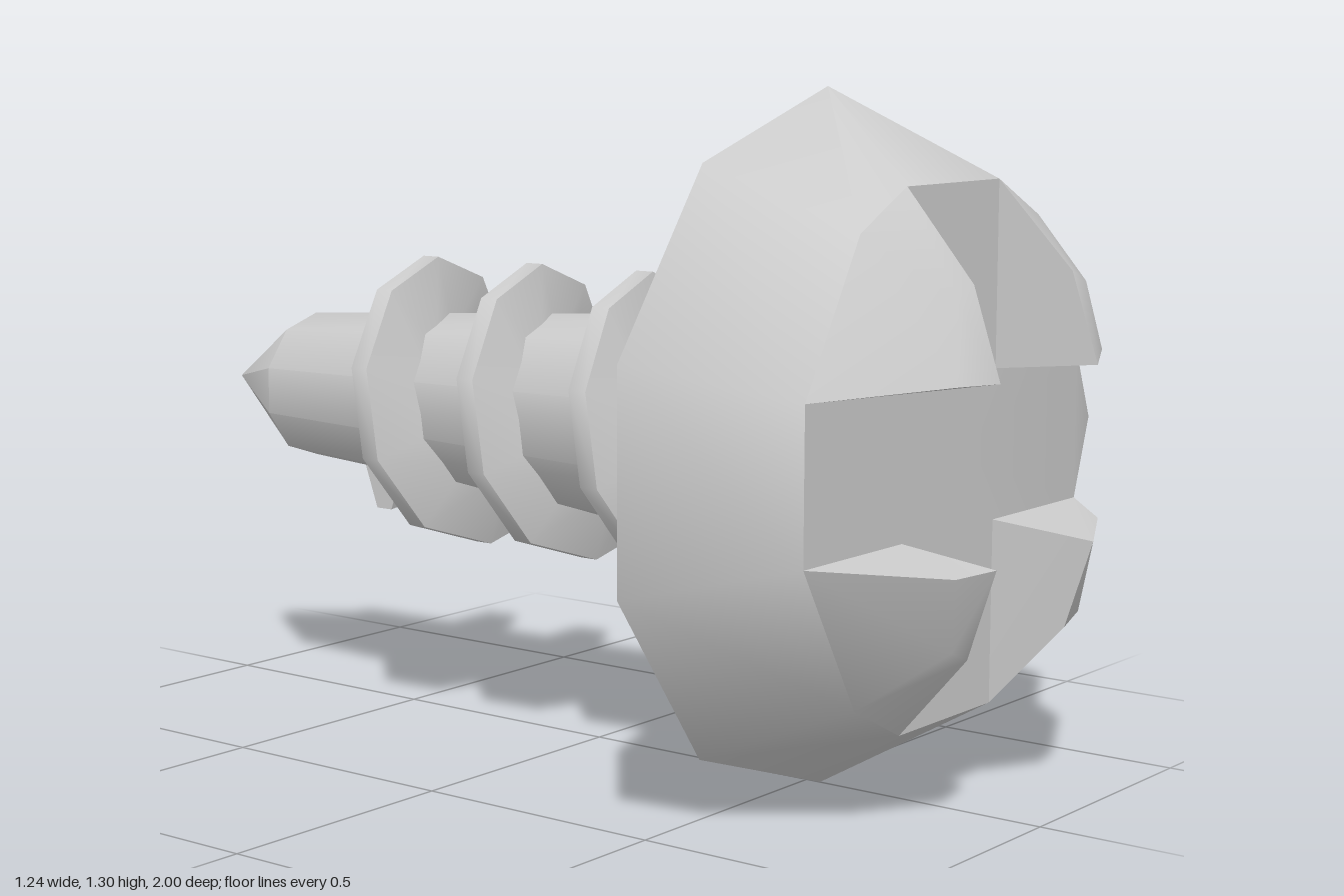
import * as THREE from 'three';
import { toCreasedNormals } from 'three/addons/utils/BufferGeometryUtils.js';

const AXIS_Y = 0.655; // height of the screw's axis
const SIDES = 10;
const material = new THREE.MeshStandardMaterial({ color: 0xcccccc });

const polar = (r, deg, z) => {
  const a = THREE.MathUtils.degToRad(deg);
  return [r * Math.cos(a), r * Math.sin(a), z];
};

function meshOf(name, geometry, crease = 0.72) {
  const mesh = new THREE.Mesh(toCreasedNormals(geometry, crease), material);
  mesh.name = name;
  return mesh;
}

// Collects triangles given by their corner points
function triangleList() {
  const data = [];
  const tri = (a, b, c) => data.push(...a, ...b, ...c);
  const quad = (a, b, c, d) => { tri(a, b, c); tri(a, c, d); };
  const geometry = () => new THREE.BufferGeometry()
    .setAttribute('position', new THREE.Float32BufferAttribute(data, 3));
  return { tri, quad, geometry };
}

// Lower head: ten-sided rim rising to the level of the slot floor
function headBase() {
  const { tri, quad, geometry } = triangleList();
  const quarter = [[0.46, 0.14, 0.8], polar(0.51, 54, 0.8), [0.155, 0.485, 0.8]];
  const angles = [18, 54, 90];
  const flipX = ([x, y, z]) => [-x, y, z];
  const upper = [...quarter, ...[...quarter].reverse().map(flipX)];
  const inner = [...upper, ...upper.map(([x, y, z]) => [-x, -y, z])];
  const half = [...angles, ...[...angles].reverse().map(a => 180 - a)];
  const outer = [...half, ...half.map(a => a + 180)].map(a => polar(0.65, a, 0.53));
  const bulge = [0.585, 0, 0.76];

  for (let i = 0; i < 12; i++) {
    const j = (i + 1) % 12;
    const [o0, o1, n0, n1] = [outer[i], outer[j], inner[i], inner[j]];
    const sharedCorner = Math.hypot(o0[0] - o1[0], o0[1] - o1[1]) < 1e-6;
    if (i === 11) {
      tri(o0, o1, bulge);
      tri(o1, n1, bulge);
      tri(n1, n0, bulge);
      tri(n0, o0, bulge);
    } else if (sharedCorner) {
      tri(o0, n1, n0);
    } else {
      quad(o0, o1, n1, n0);
    }
    tri(n0, n1, [0, 0, 0.8]);                        // slot floor
    if (!sharedCorner) tri(o1, o0, [0, 0, 0.53]);    // underside
  }
  return geometry();
}

// One domed quarter standing between the arms of the cross slot
function domeQuarter(sx, sy) {
  const { tri, quad, geometry } = triangleList();
  const at = ([x, y, z]) => [x * sx, y * sy, z];
  const face = (...p) => {
    const q = p.map(at);
    if (sx * sy < 0) q.reverse();
    (q.length === 3 ? tri : quad)(...q);
  };
  const a0 = [0.46, 0.14, 0.8], b0 = [0.155, 0.485, 0.8];
  const a1 = sx > 0 ? [0.39, 0.16, 0.89] : [0.27, 0.163, 0.98];
  const b1 = [0.17, 0.325, 0.945];
  const m0 = polar(0.51, 54, 0.8), m1 = polar(0.375, 54, 0.945);
  const c0 = [0.155, 0.14, 0.8], c1 = [0.17, 0.16, 1];
  face(a0, m0, m1, a1);
  face(m0, b0, b1, m1);
  face(a1, m1, c1);
  face(m1, b1, c1);
  face(c0, a0, a1, c1); // slot walls
  face(c0, c1, b1, b0);
  return geometry();
}

// Helical ridge with a trapezoid section
function threadGeometry() {
  const { quad, geometry } = triangleList();
  const turns = 4, steps = turns * SIDES;
  const section = i => {
    const t = i / SIDES;
    const angle = -90 - 360 * t;
    const z = 0.525 - 0.276 * t;
    const crest = 0.29 - 0.04 * Math.max(0, (t - turns + 0.25) / 0.25);
    return [[0.14, 0.06], [crest, 0.02], [crest, -0.02], [0.14, -0.06]]
      .map(([r, dz]) => polar(r, angle, z + dz));
  };
  for (let i = 0; i < steps; i++) {
    const p = section(i), q = section(i + 1);
    for (let k = 0; k < 4; k++) {
      const n = (k + 1) % 4;
      quad(p[k], q[k], q[n], p[n]);
    }
  }
  quad(...section(0));
  quad(...section(steps).reverse());
  return geometry();
}

export function createModel() {
  const model = new THREE.Group();
  model.name = 'screw';

  const head = new THREE.Group();
  head.name = 'head';
  head.add(meshOf('headBase', headBase()));
  for (const sx of [1, -1]) {
    for (const sy of [1, -1]) head.add(meshOf('domeQuarter', domeQuarter(sx, sy)));
  }

  // Tapered shaft ending in a point
  const profile = [[0.235, -0.56], [0.153, 0.77], [0, 1]]
    .map(([r, y]) => new THREE.Vector2(r, y));
  const shaft = new THREE.LatheGeometry(profile, SIDES).rotateX(-Math.PI / 2);

  model.add(head, meshOf('shaft', shaft), meshOf('thread', threadGeometry()));
  for (const part of model.children) part.position.y = AXIS_Y;
  return model;
}
